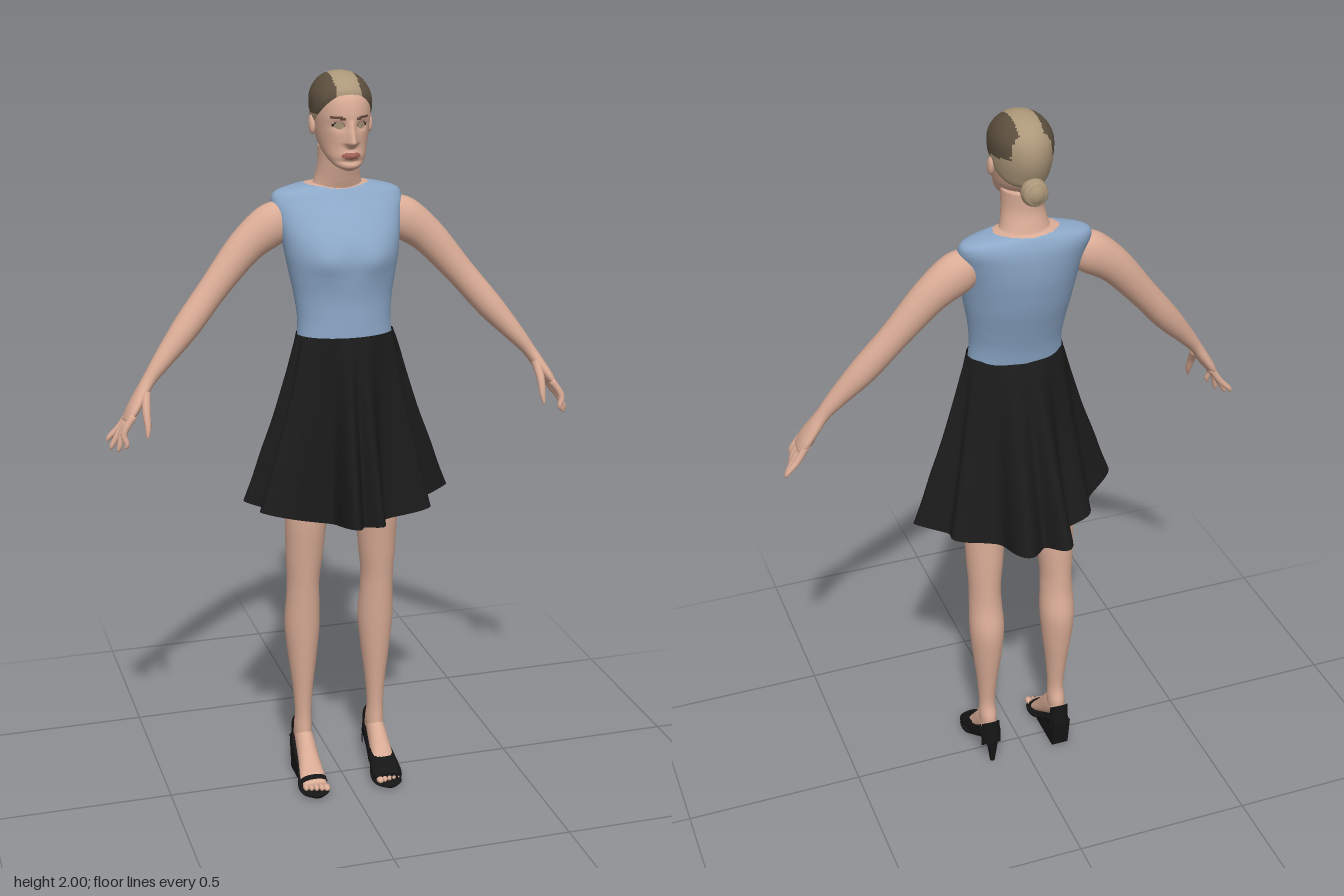
import * as THREE from 'three';

const mat = (name, color, side = THREE.FrontSide) => {
  const m = new THREE.MeshStandardMaterial({ color, side });
  m.name = name;
  return m;
};
const V = (x, y, z) => new THREE.Vector3(x, y, z);
const bell = (v, w) => Math.exp(-((v / w) ** 2));

// Smoothly resample rows of numbers
function spline(rows, n) {
  const out = [];
  for (let i = 0; i <= n; i++) {
    const u = (i / n) * (rows.length - 1), k = Math.min(Math.floor(u), rows.length - 2), t = u - k;
    const row = (j) => rows[Math.max(0, Math.min(rows.length - 1, j))];
    out.push(rows[0].map((_, c) => {
      const a = row(k - 1)[c], b = row(k)[c], d = row(k + 1)[c], e = row(k + 2)[c];
      return b + 0.5 * t * (d - a + t * (2 * a - 5 * b + 4 * d - e + t * (3 * (b - d) + e - a)));
    }));
  }
  return out;
}

// Skin a list of closed rings; rule(centre) picks a material for each face
function skin(rings, capped = true, rule = null) {
  if (capped) {
    const flat = (r) => {
      const c = r.reduce((s, p) => s.add(p), V(0, 0, 0)).divideScalar(r.length);
      return r.map(() => c.clone());
    };
    rings = [flat(rings[0]), ...rings, flat(rings[rings.length - 1])];
  }
  const n = rings[0].length, pts = rings.flat(), lists = [[], [], [], []];
  for (let i = 0; i < rings.length - 1; i++) for (let j = 0; j < n; j++) {
    const a = i * n + j, b = i * n + (j + 1) % n;
    const mid = pts[a].clone().add(pts[b + n]).multiplyScalar(0.5);
    lists[rule ? rule(mid) : 0].push(a, a + n, b, b, a + n, b + n);
  }
  const g = new THREE.BufferGeometry().setFromPoints(pts);
  g.setIndex(lists.flat());
  let start = 0;
  if (rule) lists.forEach((l, k) => { if (l.length) g.addGroup(start, l.length, k); start += l.length; });
  g.computeVertexNormals();
  return g;
}

// Upright body section rows: [y, centre x, half width, front z, back z]
function loft(rows, steps, sides, deform, rule) {
  return skin(spline(rows, steps).map(([y, cx, rx, zf, zb]) => Array.from({ length: sides }, (_, j) => {
    const a = (j / sides) * Math.PI * 2;
    const p = V(cx + Math.max(rx, 0) * Math.cos(a), y, (zf + zb) / 2 + (zf - zb) / 2 * Math.sin(a));
    if (deform) deform(p);
    return p;
  })), true, rule);
}

// Elliptical limb rows: [x, y, z, radius along side, other radius]
function limb(rows, side, steps = 24, sides = 20) {
  const s = spline(rows, steps), at = (i) => V(...s[Math.max(0, Math.min(steps, i))].slice(0, 3));
  return skin(s.map((r, i) => {
    const T = at(i + 1).sub(at(i - 1)).normalize();
    const S = side.clone().addScaledVector(T, -side.dot(T)).normalize(), B = S.clone().cross(T);
    return Array.from({ length: sides }, (_, j) => {
      const a = (j / sides) * Math.PI * 2;
      return at(i).addScaledVector(S, r[3] * Math.cos(a)).addScaledVector(B, r[4] * Math.sin(a));
    });
  }));
}

export function createModel() {
  const root = new THREE.Group();
  root.name = 'woman';
  const skinM = mat('skin', 0xdaac96), top = mat('blue bodice', 0x8ca8c8);
  const black = mat('black cloth', 0x1b1b1b, THREE.DoubleSide), shoe = mat('shoe black', 0x161616, THREE.DoubleSide);
  const hair = mat('light hair', 0xac9779), darkHair = mat('dark hair', 0x5c4f3e);
  const lip = mat('lips', 0xa5665b), eye = mat('eyes', 0x2e2622), brow = mat('brows', 0x6e4f40);
  const X = V(1, 0, 0), Z = V(0, 0, 1);
  const add = (name, geo, m, parent = root) => {
    const mesh = new THREE.Mesh(geo, m);
    mesh.name = name;
    parent.add(mesh);
    return mesh;
  };
  const ball = (name, m, p, s, parent) => {
    const b = add(name, new THREE.SphereGeometry(1, 20, 14), m, parent);
    b.position.set(...p);
    b.scale.set(...s);
    return b;
  };

  // Head, with nose, eye sockets, lips and painted features
  const skull = [[1.757, 0, 0.012, 0.085, 0.055], [1.768, 0, 0.034, 0.096, 0.02], [1.79, 0, 0.051, 0.096, -0.03],
    [1.82, 0, 0.062, 0.094, -0.08], [1.86, 0, 0.07, 0.095, -0.103], [1.9, 0, 0.075, 0.096, -0.114],
    [1.94, 0, 0.074, 0.085, -0.11], [1.97, 0, 0.058, 0.058, -0.09], [1.988, 0, 0.034, 0.025, -0.06], [1.995, 0, 0.004, -0.01, -0.02]];
  const face = (p) => {
    if (p.z < 0.02) return;
    const ax = Math.abs(p.x), y = p.y;
    const nose = Math.max(0, y > 1.83 ? 1 - (y - 1.83) / 0.058 : 1 - (1.83 - y) / 0.016);
    p.z += 0.03 * nose * bell(p.x, 0.008 + 0.006 * nose) - 0.008 * bell(ax - 0.03, 0.016) * bell(y - 1.872, 0.012)
      + 0.006 * bell(p.x, 0.02) * bell(y - 1.797, 0.01) - 0.005 * bell(p.x, 0.03) * bell(y - 1.782, 0.006);
  };
  const features = ({ x, y, z }) => {
    if (z < 0.03) return 0;
    const ax = Math.abs(x);
    if (Math.hypot(x / 0.025, (y - 1.797) / 0.009) < 1) return 1;
    if (Math.hypot((ax - 0.031) / 0.015, (y - 1.874) / 0.006) < 1) return 2;
    return ax > 0.013 && ax < 0.051 && Math.abs(y - 1.892 - 0.1 * (ax - 0.03)) < 0.0035 ? 3 : 0;
  };
  add('head', loft(skull, 110, 128, face, features), [skinM, lip, eye, brow]);
  for (const s of [1, -1]) ball('ear', skinM, [s * 0.076, 1.866, -0.008], [0.009, 0.026, 0.015]).rotation.x = -0.2;

  // Swept-back hair that sinks into the skull at the hairline, and a bun
  const heart = V(0, 1.88, -0.01);
  const hairShape = (p) => {
    const d = p.y - (1.885 + 0.75 * p.z) + 0.4 * Math.max(0, Math.abs(p.x) - 0.03);
    p.sub(heart).multiplyScalar(0.96 + 0.085 * THREE.MathUtils.smoothstep(d, -0.012, 0.022)).add(heart);
  };
  const hairTone = ({ x, y, z }) => (Math.abs(x) > 0.032 && y > 1.897 - 0.12 * z && z > -0.09 ? 1 : 0);
  add('hair', loft(skull, 70, 80, hairShape, hairTone), [hair, darkHair]);
  ball('bun', hair, [0, 1.825, -0.107], [0.034, 0.036, 0.03]);
  const coil = add('bunCoil', new THREE.TorusGeometry(0.022, 0.011, 10, 28), hair);
  coil.position.set(0, 1.825, -0.119);

  // Neck and sleeveless bodice
  add('neck', loft([[1.64, 0, 0.09, 0.01, -0.105], [1.69, 0, 0.074, 0.008, -0.1], [1.72, 0, 0.062, 0.016, -0.092],
    [1.76, 0, 0.055, 0.028, -0.082], [1.81, 0, 0.054, 0.04, -0.085]], 24, 40), skinM);
  const bust = (p) => {
    if (p.z > 0) p.z += 0.01 * bell(Math.abs(p.x) - 0.068, 0.045) * bell(p.y - 1.53, 0.045);
  };
  const neckline = ({ x, y, z }) => (y > 1.65 && Math.hypot(x / 0.086, (z + 0.05) / 0.06) < 1 ? 1 : 0);
  add('bodice', loft([[1.3, 0, 0.13, 0.113, -0.05], [1.36, 0, 0.126, 0.112, -0.062], [1.42, 0, 0.132, 0.112, -0.08],
    [1.48, 0, 0.143, 0.118, -0.1], [1.53, 0, 0.152, 0.12, -0.113], [1.58, 0, 0.16, 0.104, -0.123], [1.63, 0, 0.17, 0.067, -0.127],
    [1.665, 0, 0.177, 0.036, -0.126], [1.688, 0, 0.165, 0.018, -0.12], [1.703, 0, 0.115, 0.006, -0.112], [1.71, 0, 0.065, -0.006, -0.1]],
  80, 96, bust, neckline), [top, skinM]);

  // Flared skirt: hem folds as [degrees, radius], fading out toward the waist
  const hem = [[0, 0.305], [14, 0.2], [31, 0.25], [48, 0.165], [62, 0.16], [78, 0.238], [87, 0.19], [97, 0.257], [112, 0.15],
    [128, 0.17], [150, 0.298], [161, 0.23], [172, 0.288], [190, 0.2], [214, 0.2], [236, 0.16], [258, 0.26], [269, 0.195],
    [284, 0.25], [304, 0.17], [320, 0.175], [337, 0.235], [348, 0.23], [360, 0.305]];
  const folds = spline(hem, 184).slice(0, -1);
  const flare = spline([[1, 0], [0.82, 0.14], [0.66, 0.29], [0.43, 0.5], [0.22, 0.74], [0.08, 0.92], [0, 1]], 40);
  const skirt = flare.map(([f, drop]) => folds.map(([deg, r]) => {
    const a = deg * Math.PI / 180, c = Math.cos(a), s = Math.sin(a);
    const low = 0.815 + 0.25 * (r - 0.16) - 0.03 * Math.min(0, c) * (r / 0.3);
    const out = f + 0.16 * f * (1 - f);
    return V(0.132 * c * (1 - out) + r * c * out, low + (1.325 - low) * drop, (0.0325 + 0.0835 * s) * (1 - out) + r * s * out);
  }));
  add('skirt', skin(skirt, false), black);
  ball('hips', skinM, [0, 1.06, 0], [0.11, 0.1, 0.06]);

  for (const s of [1, -1]) {
    // Arm running into the palm
    const arm = new THREE.Group();
    arm.name = s > 0 ? 'leftArm' : 'rightArm';
    root.add(arm);
    const flip = (rows) => rows.map(([x, ...r]) => [s * x, ...r]);
    add('arm', limb(flip([[0.125, 1.635, -0.04, 0.03, 0.035], [0.175, 1.608, -0.038, 0.046, 0.056], [0.25, 1.552, -0.034, 0.043, 0.048],
      [0.34, 1.45, -0.02, 0.037, 0.039], [0.42, 1.355, 0, 0.036, 0.036], [0.49, 1.275, 0.02, 0.027, 0.025],
      [0.527, 1.23, 0.029, 0.022, 0.018], [0.552, 1.193, 0.037, 0.03, 0.017], [0.576, 1.157, 0.045, 0.037, 0.015],
      [0.594, 1.13, 0.05, 0.032, 0.009]]), Z, 54, 28), skinM, arm);
    // Fingers
    [[0.64, 1.068, 0.015], [0.636, 1.055, 0.041], [0.622, 1.055, 0.066], [0.606, 1.068, 0.088]].forEach(([x, y, z], k) => {
      const kz = 0.021 + k * 0.018;
      add('finger', limb(flip([[0.578, 1.15, kz, 0.01, 0.01], [0.606, 1.108, (kz + z) / 2, 0.009, 0.009],
        [x - 0.006, y + 0.012, z, 0.007, 0.007], [x, y, z, 0.003, 0.003]]), Z, 10, 10), skinM, arm);
    });
    add('thumb', limb(flip([[0.54, 1.2, 0.05, 0.012, 0.014], [0.545, 1.16, 0.078, 0.011, 0.011], [0.545, 1.12, 0.095, 0.008, 0.008],
      [0.548, 1.095, 0.103, 0.003, 0.003]]), X, 12, 10), skinM, arm);

    // Leg and raised foot
    const leg = new THREE.Group();
    leg.name = s > 0 ? 'leftLeg' : 'rightLeg';
    leg.position.x = s * 0.107;
    root.add(leg);
    add('leg', loft([[0.11, 0, 0.022, 0.012, -0.06], [0.15, 0, 0.025, 0.008, -0.062], [0.2, 0, 0.023, 0.006, -0.05],
      [0.28, 0, 0.029, 0.012, -0.06], [0.38, 0, 0.041, 0.022, -0.076], [0.47, 0, 0.049, 0.03, -0.084], [0.55, 0, 0.046, 0.036, -0.071],
      [0.61, 0, 0.045, 0.041, -0.067], [0.7, -s * 0.003, 0.052, 0.052, -0.066], [0.84, -s * 0.009, 0.058, 0.066, -0.062],
      [1.08, -s * 0.035, 0.055, 0.065, -0.06]], 60, 32), skinM, leg);
    add('foot', limb([[0, 0.115, -0.062, 0.019, 0.024], [0, 0.12, -0.02, 0.025, 0.036], [0, 0.075, 0.035, 0.03, 0.028],
      [0, 0.037, 0.08, 0.036, 0.018], [0, 0.027, 0.115, 0.032, 0.011]], X), skinM, leg);
    for (let k = 0; k < 5; k++) {
      ball('toe', skinM, [s * (k * 0.014 - 0.028), 0.025, 0.124 - k * 0.004], [k ? 0.0075 : 0.01, 0.009, 0.015], leg);
    }

    // Shoe: sole, heel cup and front
    add('sole', limb([[0, 0.092, -0.078, 0.018, 0.008], [0, 0.086, -0.045, 0.029, 0.01], [0, 0.04, 0.02, 0.029, 0.01],
      [0, 0.011, 0.075, 0.041, 0.01], [0, 0.01, 0.12, 0.038, 0.009], [0, 0.01, 0.143, 0.016, 0.006]], X), shoe, leg);
    const cup = new THREE.CylinderGeometry(0.026, 0.029, 0.08, 24, 6, true, Math.PI / 2, Math.PI);
    const cp = cup.attributes.position;
    for (let i = 0; i < cp.count; i++) cp.setY(i, cp.getY(i) - 1.1 * Math.max(0, cp.getZ(i) + 0.028));
    cup.scale(1, 1, 1.3);
    cup.computeVertexNormals();
    add('heelCup', cup, shoe, leg).position.set(0, 0.122, -0.049);
    if (s > 0) {
      add('vamp', limb([[0, 0.07, 0.028, 0.033, 0.026], [0, 0.044, 0.07, 0.041, 0.024], [0, 0.03, 0.1, 0.043, 0.02],
        [0, 0.026, 0.122, 0.037, 0.016]], X), shoe, leg);
      for (const e of [1, -1]) {
        add('shoeSide', limb([[e * 0.027, 0.105, -0.05, 0.003, 0.022], [e * 0.028, 0.08, -0.01, 0.003, 0.015],
          [e * 0.032, 0.05, 0.04, 0.004, 0.018]], X, 10, 10), shoe, leg);
      }
      const heel = add('stilettoHeel', new THREE.CylinderGeometry(0.021, 0.007, 0.1, 16), shoe, leg);
      heel.position.set(0, 0.05, -0.064);
    } else {
      const side = new THREE.Shape([[0.082, 0.098], [0.045, 0.088], [-0.02, 0.042], [-0.075, 0.012], [-0.075, 0], [0.066, 0]]
        .map(([a, b]) => new THREE.Vector2(a, b)));
      const wedge = new THREE.ExtrudeGeometry(side, { depth: 0.05, bevelEnabled: false }).translate(0, 0, -0.025).rotateY(Math.PI / 2);
      add('wedgeHeel', wedge, shoe, leg);
      add('toeStrap', limb([[0, 0.034, 0.084, 0.038, 0.019], [0, 0.03, 0.098, 0.038, 0.017]], X, 4), shoe, leg);
    }
  }
  return root;
}
